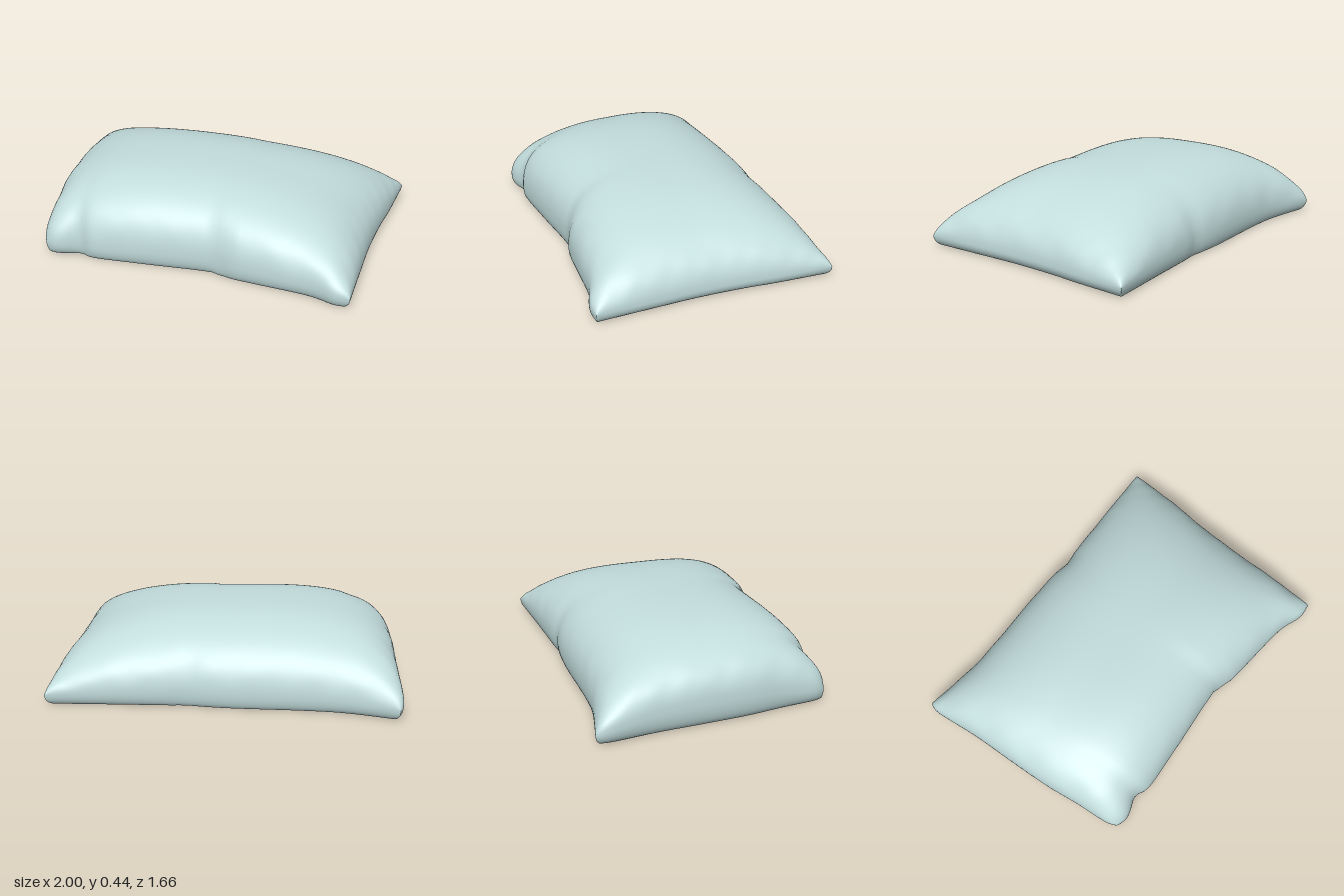
import * as THREE from 'three';
import { mergeVertices } from 'three/addons/utils/BufferGeometryUtils.js';

const N = 64;
const spline = (pts) => new THREE.SplineCurve(pts.map(([x, z]) => new THREE.Vector2(x, z)));

// Plan outline: four edges, with x to the right and z to the front
const A = [-0.88, -0.83], B = [1, -0.49], C = [0.73, 0.83], D = [-0.985, 0.46];
const back = spline([A, [-0.62, -0.73], [-0.4, -0.68], [0, -0.62], [0.25, -0.57], [0.6, -0.53], B]);
const front = spline([D, [-0.92, 0.49], [-0.78, 0.49], [-0.7, 0.52], [-0.4, 0.55], [-0.06, 0.58],
  [0.02, 0.62], [0.2, 0.67], [0.5, 0.75], [0.64, 0.82], C]);
const left = spline([A, [-0.91, -0.76], [-0.93, -0.5], [-0.96, -0.25], [-0.985, 0], [-0.99, 0.2], [-1, 0.39], D]);
const right = spline([B, [0.93, -0.2], [0.875, 0], [0.82, 0.25], [0.78, 0.5], C]);

// Blend the four edges into a point inside the outline
function planPoint(u, v) {
  const b = back.getPointAt(u), f = front.getPointAt(u), l = left.getPointAt(v), r = right.getPointAt(v);
  const blend = (k, i) => (1 - v) * b[k] + v * f[k] + (1 - u) * l[k] + u * r[k]
    - (1 - u) * (1 - v) * A[i] - u * (1 - v) * B[i] - (1 - u) * v * D[i] - u * v * C[i];
  return [blend('x', 0), blend('y', 1)];
}

const bump = (x, c, w) => Math.exp(-(((x - c) / w) ** 2));
const dome = (s, pow, root) => Math.max(0, 1 - Math.abs(s) ** pow) ** root;

// Height of the widest line around the side, fuller on the left and front
function rimHeight(s, t) {
  const l = (1 - s) / 2;
  return 0.07 + 0.07 * l * l * (1 - t * t) + 0.03 * (1 - s * s) * Math.abs(t);
}

// s and t run from -1 to 1 across the cushion
function surfacePoint(s, t, top) {
  let [x, z] = planPoint((s + 1) / 2, (t + 1) / 2);
  const edge = Math.max(Math.abs(s), Math.abs(t));
  const rim = rimHeight(s, t);

  // Creases in the front and back sides, and a tucked front corner
  const nearFront = Math.max(0, t) ** 14, nearBack = Math.max(0, -t) ** 14;
  const crease = nearFront * (bump(x, 0.02, 0.045) + 0.8 * bump(x, -0.8, 0.06)) + 0.6 * nearBack * bump(x, 0.24, 0.05);
  // Fine puckers round the rim
  const ripple = Math.sin(19 * x + 23 * z) + 0.6 * Math.sin(41 * x - 37 * z + 1);
  const pucker = 0.006 * ripple * edge ** 16 * (1 - edge ** 60);
  z -= 0.02 * crease * Math.sign(t);

  let y;
  if (top) {
    const height = 0.445 - 0.018 * s - rim;
    const fx = s < 0 ? dome(s, 3, 0.4) : dome(s, 2.5, 0.45);
    const fz = t < 0 ? dome(t, 2.5, 0.47) : dome(t, 2.8, 0.43);
    y = rim + height * fx * fz * (1 - 0.28 * crease) + pucker;
  } else {
    const k = Math.max(0, 1 - (1 - edge) / 0.06);
    y = 0.005 + (rim - 0.005) * (1 - Math.sqrt(1 - k * k));
  }
  return [x, y, z];
}

// Domed top and flat base, welded along the rim
function cushionGeometry() {
  const positions = [], indices = [];
  for (const top of [true, false]) {
    const start = positions.length / 3;
    for (let j = 0; j <= N; j++) {
      for (let i = 0; i <= N; i++) {
        // Rows crowd towards the rim, where the surface turns
        positions.push(...surfacePoint(-Math.cos((Math.PI * i) / N), -Math.cos((Math.PI * j) / N), top));
      }
    }
    for (let j = 0; j < N; j++) {
      for (let i = 0; i < N; i++) {
        const a = start + j * (N + 1) + i, b = a + 1, c = a + N + 1, d = c + 1;
        if (top) indices.push(a, c, b, b, c, d);
        else indices.push(a, b, c, b, d, c);
      }
    }
  }
  const geometry = new THREE.BufferGeometry();
  geometry.setAttribute('position', new THREE.Float32BufferAttribute(positions, 3));
  geometry.setIndex(indices);
  const welded = mergeVertices(geometry, 1e-5);
  welded.computeVertexNormals();
  return welded;
}

export function createModel() {
  const group = new THREE.Group();
  group.name = 'pillow';
  const cushion = new THREE.Mesh(cushionGeometry(), new THREE.MeshStandardMaterial({ color: 0xc3dddd }));
  cushion.name = 'cushion';
  group.add(cushion);
  return group;
}
